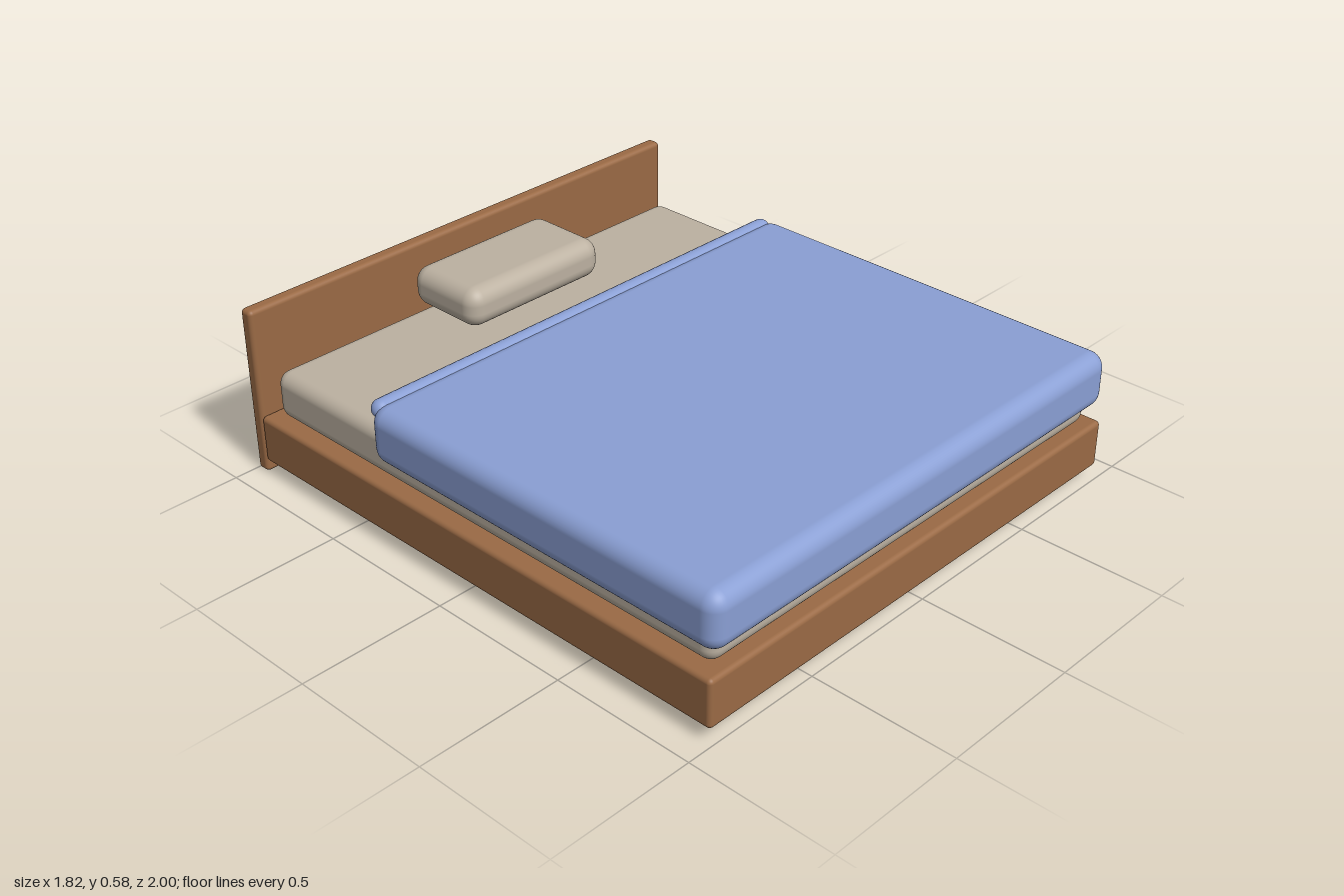
import * as THREE from 'three';
import { RoundedBoxGeometry } from 'three/addons/geometries/RoundedBoxGeometry.js';

export function createModel() {
  const bed = new THREE.Group();
  bed.name = 'bed';

  const material = (name, color) => {
    const m = new THREE.MeshStandardMaterial({ color });
    m.name = name;
    return m;
  };
  const wood = material('wood', 0x9a6a45);
  const linen = material('linen', 0xbcb1a1);
  const blue = material('blue blanket', 0x8a9fd4);

  // Box given by its [min, max] range on each axis, rounded when radius > 0
  const addBox = (name, mat, [x0, x1], [y0, y1], [z0, z1], radius) => {
    const size = [x1 - x0, y1 - y0, z1 - z0];
    const geometry = radius > 0
      ? new RoundedBoxGeometry(...size, 5, radius)
      : new THREE.BoxGeometry(...size);
    const mesh = new THREE.Mesh(geometry, mat);
    mesh.name = name;
    mesh.position.set((x0 + x1) / 2, (y0 + y1) / 2, (z0 + z1) / 2);
    bed.add(mesh);
  };

  // Wooden base, frame and headboard
  addBox('plinth', wood, [-0.83, 0.83], [0, 0.06], [-0.915, 0.91], 0);
  addBox('frame', wood, [-0.91, 0.91], [0.045, 0.21], [-0.953, 0.992], 0.015);
  addBox('headboard', wood, [-0.91, 0.91], [0, 0.583], [-1, -0.95], 0.015);

  // Bedding
  addBox('mattress', linen, [-0.87, 0.87], [0.21, 0.375], [-0.915, 0.96], 0.045);
  addBox('pillow', linen, [-0.29, 0.29], [0.385, 0.525], [-0.932, -0.622], 0.055);
  addBox('blanket', blue, [-0.903, 0.903], [0.275, 0.468], [-0.408, 1], 0.055);

  // Folded edge of the blanket, a round-ended roll
  const r = 0.032;
  const fold = new THREE.Mesh(new THREE.CapsuleGeometry(r, 1.76 - 2 * r, 8, 20), blue);
  fold.name = 'blanketFold';
  fold.rotation.z = Math.PI / 2;
  fold.position.set(0, 0.441, -0.402);
  bed.add(fold);

  return bed;
}
